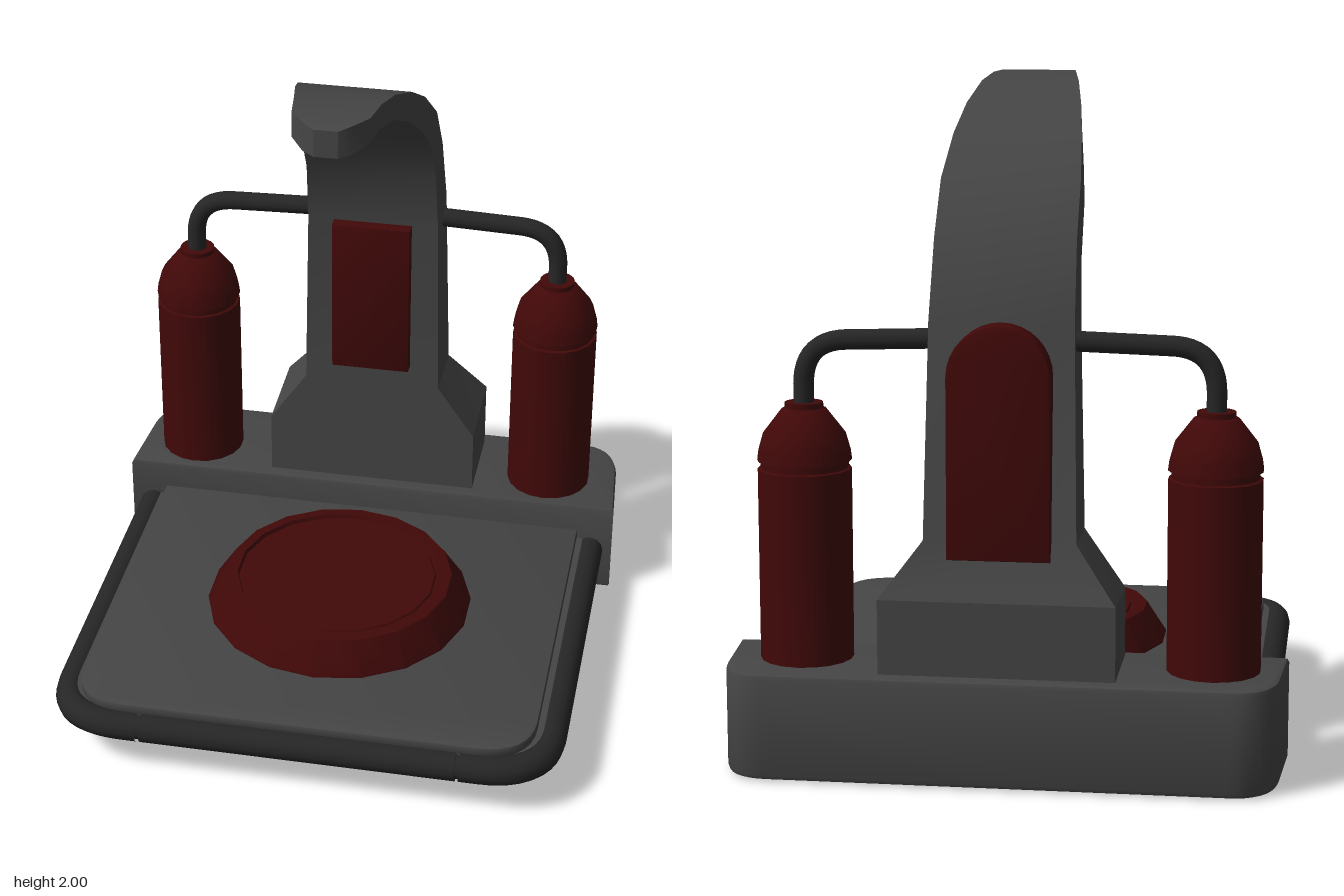
import * as THREE from 'three';
import { toCreasedNormals } from 'three/addons/utils/BufferGeometryUtils.js';

const mat = (name, color) => {
  const m = new THREE.MeshStandardMaterial({ color });
  m.name = name;
  return m;
};

export function createModel() {
  const grey = mat('grey metal', 0x454545);
  const dark = mat('dark rubber', 0x262626);
  const red = mat('deep red', 0x410808);
  const model = new THREE.Group();
  model.name = 'machine';

  const add = (name, geometry, material, x = 0, y = 0, z = 0) => {
    const mesh = new THREE.Mesh(geometry, material);
    mesh.name = name;
    mesh.position.set(x, y, z);
    model.add(mesh);
    return mesh;
  };
  const crease = (g, angle = 0.6) => toCreasedNormals(g, angle);
  const extrude = (shape, depth, bevel) => {
    const g = new THREE.ExtrudeGeometry(shape, {
      depth: depth - 2 * bevel, bevelEnabled: bevel > 0, bevelThickness: bevel,
      bevelSize: bevel, bevelOffset: -bevel, bevelSegments: 2, curveSegments: 8,
    });
    return crease(g.translate(0, 0, bevel));
  };
  // Plan shapes use (x, -z) and rise along y
  const slab = (shape, height, bevel) => extrude(shape, height, bevel).rotateX(-Math.PI / 2);
  const lathe = (pts, n) =>
    crease(new THREE.LatheGeometry(pts.map(([r, y]) => new THREE.Vector2(r, y)), n));

  // Rear base block with rounded back corners
  const base = new THREE.Shape();
  base.moveTo(-0.825, 0.43);
  base.lineTo(0.825, 0.43);
  base.lineTo(0.808, 0.68);
  base.quadraticCurveTo(0.79, 0.82, 0.67, 0.82);
  base.lineTo(-0.67, 0.82);
  base.quadraticCurveTo(-0.79, 0.82, -0.808, 0.68);
  add('base', slab(base, 0.316, 0.016), grey, 0, 0.004);

  // Cable channel and ring under the base
  for (const z of [-0.635, -0.685]) {
    add('baseGroove', new THREE.BoxGeometry(1.4, 0.006, 0.012), dark, 0.05, 0.003, z);
  }
  add('baseRing', new THREE.TorusGeometry(0.035, 0.007, 6, 16).rotateX(Math.PI / 2), dark, -0.69, 0.007, -0.66);

  // Platform deck, its underside set inside the rail
  const deckShape = (w, front, r) => {
    const s = new THREE.Shape();
    s.moveTo(-w, 0.45);
    s.lineTo(-w, -front + r);
    s.quadraticCurveTo(-w, -front, -w + r * 1.1, -front);
    s.lineTo(w - r * 1.1, -front);
    s.quadraticCurveTo(w, -front, w, -front + r);
    s.lineTo(w, 0.45);
    return s;
  };
  add('deckUnderside', slab(deckShape(0.74, 0.755, 0.17), 0.06, 0), grey, 0, 0.135);
  add('deck', slab(deckShape(0.708, 0.755, 0.16), 0.035, 0.006), grey, 0, 0.19);

  // Rubber bumper rail in three pieces, with an inner core across the seams
  const v = (x, y, z) => new THREE.Vector3(x, y, z);
  for (const s of [1, -1]) {
    const path = new THREE.CurvePath();
    path.add(new THREE.LineCurve3(v(s * 0.75, 0.155, -0.45), v(s * 0.75, 0.155, 0.58)));
    path.add(new THREE.QuadraticBezierCurve3(
      v(s * 0.75, 0.155, 0.58), v(s * 0.75, 0.155, 0.765), v(s * 0.55, 0.155, 0.765)));
    path.add(new THREE.LineCurve3(v(s * 0.55, 0.155, 0.765), v(s * 0.497, 0.155, 0.765)));
    add('sideRail', new THREE.TubeGeometry(path, 48, 0.046, 12), dark);
  }
  const bar = (r, length) => new THREE.CylinderGeometry(r, r, length, 12).rotateZ(Math.PI / 2);
  add('frontRail', bar(0.046, 0.97), dark, 0, 0.155, 0.765);
  add('railCore', bar(0.038, 1.02), dark, 0, 0.155, 0.765);

  // Round red pad with a grooved rim
  add('pad', lathe([[0.422, 0.22], [0.422, 0.228], [0.36, 0.325], [0.326, 0.328],
    [0.322, 0.316], [0.31, 0.316], [0.306, 0.322], [0, 0.322]], 18), red, 0, 0, 0.093);

  // Pedestal, neck and hooked arm: sections [half width, front z, front y, back z, back y]
  const sections = [
    [0.343, -0.47, 0.31, -0.77, 0.31], [0.343, -0.47, 0.525, -0.77, 0.54],
    [0.222, -0.47, 0.7, -0.69, 0.7], [0.21, -0.47, 1.3, -0.64, 1.33],
    [0.206, -0.43, 1.5, -0.555, 1.56], [0.204, -0.34, 1.65, -0.44, 1.72],
    [0.19, -0.24, 1.75, -0.29, 1.84], [0.172, -0.12, 1.835, -0.15, 1.92],
    [0.148, 0.01, 1.902, 0, 1.978], [0.128, 0.12, 1.927, 0.11, 1.998],
    [0.114, 0.215, 1.924, 0.21, 2], [0.07, 0.272, 1.91, 0.265, 1.996],
    [0.035, 0.29, 1.904, 0.288, 1.988],
  ];
  const pos = [], index = [], n = 4;
  for (const [w, fz, fy, bz, by] of sections) {
    pos.push(w, fy, fz, w, by, bz, -w, by, bz, -w, fy, fz);
  }
  for (let i = 0; i < sections.length - 1; i++) {
    for (let j = 0; j < n; j++) {
      const a = i * n + j, b = i * n + (j + 1) % n;
      index.push(a, b, b + n, a, b + n, a + n);
    }
  }
  const last = (sections.length - 1) * n;
  index.push(last, last + 1, last + 2, last, last + 2, last + 3, 0, 2, 1, 0, 3, 2);
  const arm = new THREE.BufferGeometry();
  arm.setAttribute('position', new THREE.Float32BufferAttribute(pos, 3));
  arm.setIndex(index);
  add('arm', crease(arm, 0.45), grey);

  // Red panels on the front and back of the neck
  const front = new THREE.Shape();
  front.moveTo(-0.126, 0.776);
  front.lineTo(0.126, 0.776);
  front.lineTo(0.126, 1.297);
  front.lineTo(-0.126, 1.297);
  add('frontPanel', extrude(front, 0.06, 0.002), red, 0, 0, -0.49);
  const back = new THREE.Shape();
  back.moveTo(-0.15, 0.65);
  back.lineTo(0.15, 0.65);
  back.lineTo(0.15, 1.18);
  back.absarc(0, 1.18, 0.15, 0, Math.PI);
  add('backPanel', extrude(back, 0.1, 0.008), red, 0, 0, -0.722);

  // Tanks with curved pipes running into the neck
  const tank = [[0, 0.31], [0.137, 0.31], [0.137, 0.885], [0.128, 0.888], [0.128, 0.908],
    [0.138, 0.91], [0.134, 0.94], [0.12, 0.99], [0.066, 1.06], [0.056, 1.064],
    [0.056, 1.08], [0, 1.08]];
  for (const x of [-0.612, 0.585]) {
    const s = Math.sign(x), z = -0.595;
    add('tank', lathe(tank, 18), red, x, 0, z);
    const pipe = new THREE.CurvePath();
    const bend = [v(x, 1.13, z), v(x, 1.262, z), v(x - s * 0.13, 1.265, z)];
    pipe.add(new THREE.LineCurve3(v(x, 1.06, z), bend[0]));
    pipe.add(new THREE.QuadraticBezierCurve3(...bend));
    pipe.add(new THREE.LineCurve3(bend[2], v(s * 0.15, 1.275, z)));
    add('pipe', new THREE.TubeGeometry(pipe, 32, 0.03, 10), dark);
  }
  return model;
}
